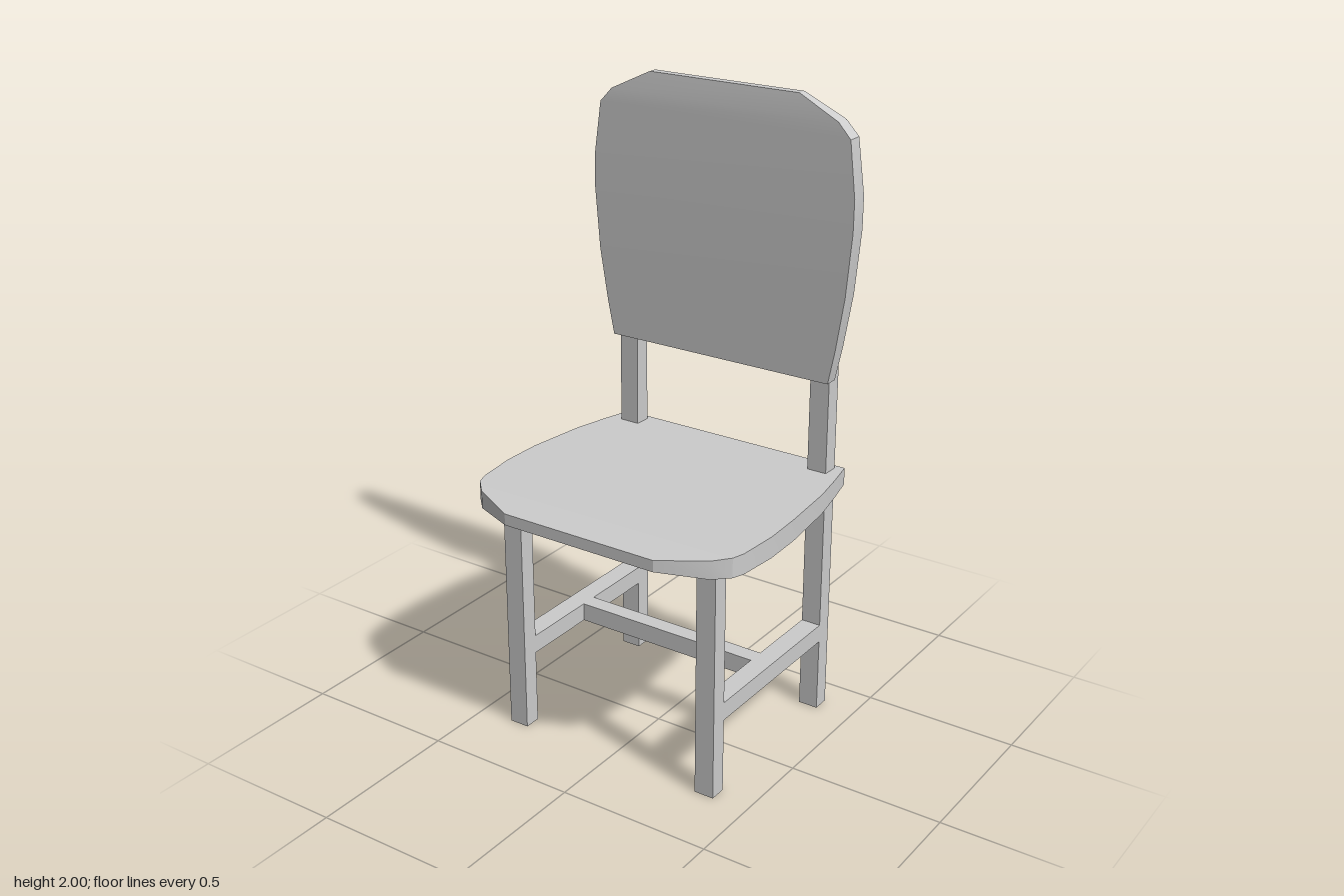
import * as THREE from 'three';
import { toCreasedNormals } from 'three/addons/utils/BufferGeometryUtils.js';

const material = new THREE.MeshStandardMaterial({ color: 0xcccccc });

// Lofts rectangular sections along z; each station is [z, halfWidth, yLow, yHigh].
function panelGeometry(stations) {
  const positions = [];
  const index = [];
  for (const [z, w, lo, hi] of stations) {
    positions.push(-w, lo, z, w, lo, z, w, hi, z, -w, hi, z);
  }
  const last = (stations.length - 1) * 4;
  for (let base = 0; base < last; base += 4) {
    for (let k = 0; k < 4; k++) {
      const a = base + k;
      const b = base + (k + 1) % 4;
      index.push(a, b, b + 4, a, b + 4, a + 4);
    }
  }
  index.push(0, 2, 1, 0, 3, 2, last, last + 1, last + 2, last, last + 2, last + 3);
  const geometry = new THREE.BufferGeometry();
  geometry.setAttribute('position', new THREE.Float32BufferAttribute(positions, 3));
  geometry.setIndex(index);
  return toCreasedNormals(geometry, 0.4);
}

export function createModel() {
  const group = new THREE.Group();

  const add = (name, geometry) => {
    const mesh = new THREE.Mesh(geometry, material);
    mesh.name = name;
    group.add(mesh);
  };

  // Box given by its extents on each axis
  const bar = (name, [x0, x1], [y0, y1], [z0, z1]) => {
    const box = new THREE.BoxGeometry(x1 - x0, y1 - y0, z1 - z0);
    box.translate((x0 + x1) / 2, (y0 + y1) / 2, (z0 + z1) / 2);
    add(name, box);
  };

  // Seat, thinning toward the front edge
  add('seat', panelGeometry([
    [-0.42, 0.41, 0.777, 0.833],
    [-0.32, 0.433, 0.776, 0.836],
    [-0.2, 0.456, 0.774, 0.839],
    [0, 0.476, 0.772, 0.842],
    [0.13, 0.48, 0.772, 0.84],
    [0.26, 0.468, 0.772, 0.837],
    [0.298, 0.455, 0.773, 0.836],
    [0.345, 0.41, 0.775, 0.833],
    [0.415, 0.265, 0.786, 0.823],
  ]));

  // Backrest: the same kind of panel, stood upright
  const backrest = panelGeometry([
    [1.14, 0.393, 0.32, 0.364],
    [1.25, 0.415, 0.319, 0.367],
    [1.42, 0.442, 0.317, 0.37],
    [1.62, 0.459, 0.317, 0.373],
    [1.72, 0.459, 0.318, 0.373],
    [1.89, 0.437, 0.321, 0.37],
    [1.935, 0.395, 0.322, 0.368],
    [2, 0.26, 0.331, 0.36],
  ]);
  backrest.rotateX(-Math.PI / 2);
  add('backrest', backrest);

  // Legs and side stretchers, mirrored
  for (const [side, x] of [['left', [0.32, 0.385]], ['right', [-0.385, -0.32]]]) {
    bar(side + 'FrontLeg', x, [0, 0.78], [0.22, 0.275]);
    bar(side + 'BackPost', x, [0, 1.48], [-0.4, -0.345]);
    bar(side + 'Stretcher', x, [0.245, 0.305], [-0.345, 0.22]);
  }

  // Cross stretcher joining the two sides
  bar('crossStretcher', [-0.32, 0.32], [0.245, 0.305], [-0.09, -0.035]);

  return group;
}
